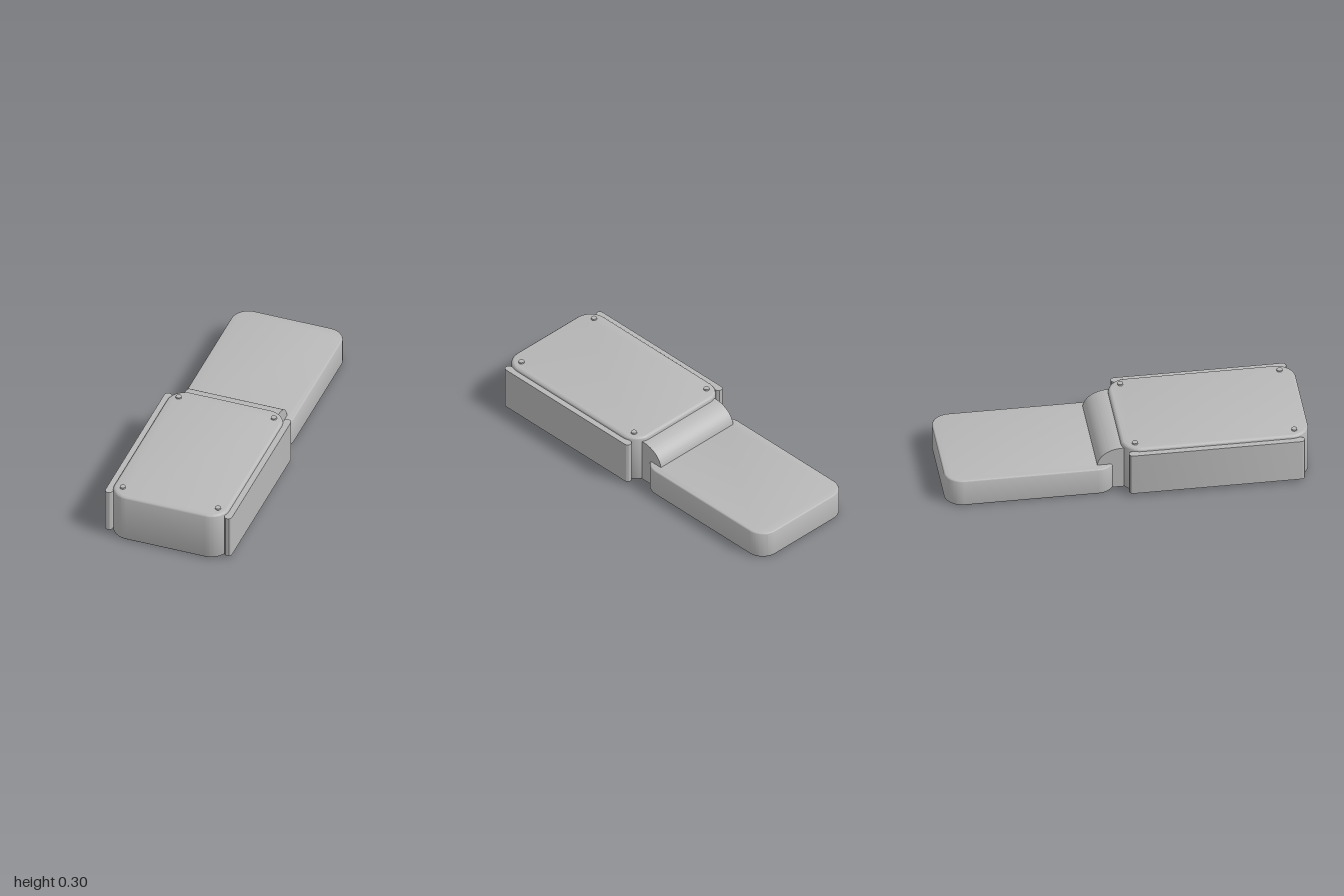
import * as THREE from 'three';
import { toCreasedNormals } from 'three/addons/utils/BufferGeometryUtils.js';

// Rounded rectangle outline centred on the origin
function roundedRect(w, d, r) {
  const x = w / 2, y = d / 2;
  const s = new THREE.Shape();
  s.moveTo(x, -y + r);
  s.lineTo(x, y - r);
  s.absarc(x - r, y - r, r, 0, Math.PI / 2);
  s.lineTo(-x + r, y);
  s.absarc(-x + r, y - r, r, Math.PI / 2, Math.PI);
  s.lineTo(-x, -y + r);
  s.absarc(-x + r, -y + r, r, Math.PI, Math.PI * 1.5);
  s.lineTo(x - r, -y);
  s.absarc(x - r, -y + r, r, Math.PI * 1.5, Math.PI * 2);
  return s;
}

// Upright slab with rounded corners and softened top and bottom rims
function slab(w, h, d, r, bevel) {
  const geo = new THREE.ExtrudeGeometry(roundedRect(w - 2 * bevel, d - 2 * bevel, r - bevel), {
    depth: h - 2 * bevel, curveSegments: 12, bevelEnabled: bevel > 0,
    bevelSize: bevel, bevelThickness: bevel, bevelSegments: 5,
  });
  geo.rotateX(-Math.PI / 2).translate(0, bevel, 0);
  return toCreasedNormals(geo, 0.6);
}

export function createModel() {
  const group = new THREE.Group();
  const grey = new THREE.MeshStandardMaterial({ color: 0xb8b8b8 });
  grey.name = 'grey';

  const add = (name, geo, x, y, z) => {
    const mesh = new THREE.Mesh(geo, grey);
    mesh.name = name;
    mesh.position.set(x, y, z);
    group.add(mesh);
  };

  // Tall front case and low rear case
  add('frontCase', slab(0.666, 0.288, 1.03, 0.105, 0.018), 0, 0, 0.485);
  add('rearCase', slab(0.64, 0.163, 0.935, 0.1, 0.012), 0, 0, -0.5325);

  // Side grips with rounded ends
  const grip = slab(0.043, 0.252, 0.965, 0.0214, 0);
  for (const side of [1, -1]) {
    add(side > 0 ? 'leftGrip' : 'rightGrip', grip, side * 0.3455, 0.018, 0.4825);
  }

  // Connecting block with a curved shoulder (profile x runs backwards)
  const profile = new THREE.Shape();
  profile.moveTo(-0.02, 0.006);
  profile.lineTo(0.09, 0.006);
  profile.lineTo(0.09, 0.155);
  profile.lineTo(0.165, 0.155);
  profile.absellipse(0.03, 0.155, 0.135, 0.107, 0, Math.PI / 2, false, 0);
  profile.lineTo(-0.02, 0.262);
  const joint = new THREE.ExtrudeGeometry(profile, { depth: 0.55, bevelEnabled: false, curveSegments: 20 });
  joint.translate(0, 0, -0.275).rotateY(Math.PI / 2);
  add('joint', toCreasedNormals(joint, 0.6), 0, 0, 0);

  // Screw heads on the four corners
  const screw = toCreasedNormals(new THREE.CylinderGeometry(0.016, 0.016, 0.02, 24), 0.6);
  for (const x of [-0.276, 0.276]) {
    for (const z of [0.043, 0.918]) add('screw', screw, x, 0.287, z);
  }

  return group;
}
